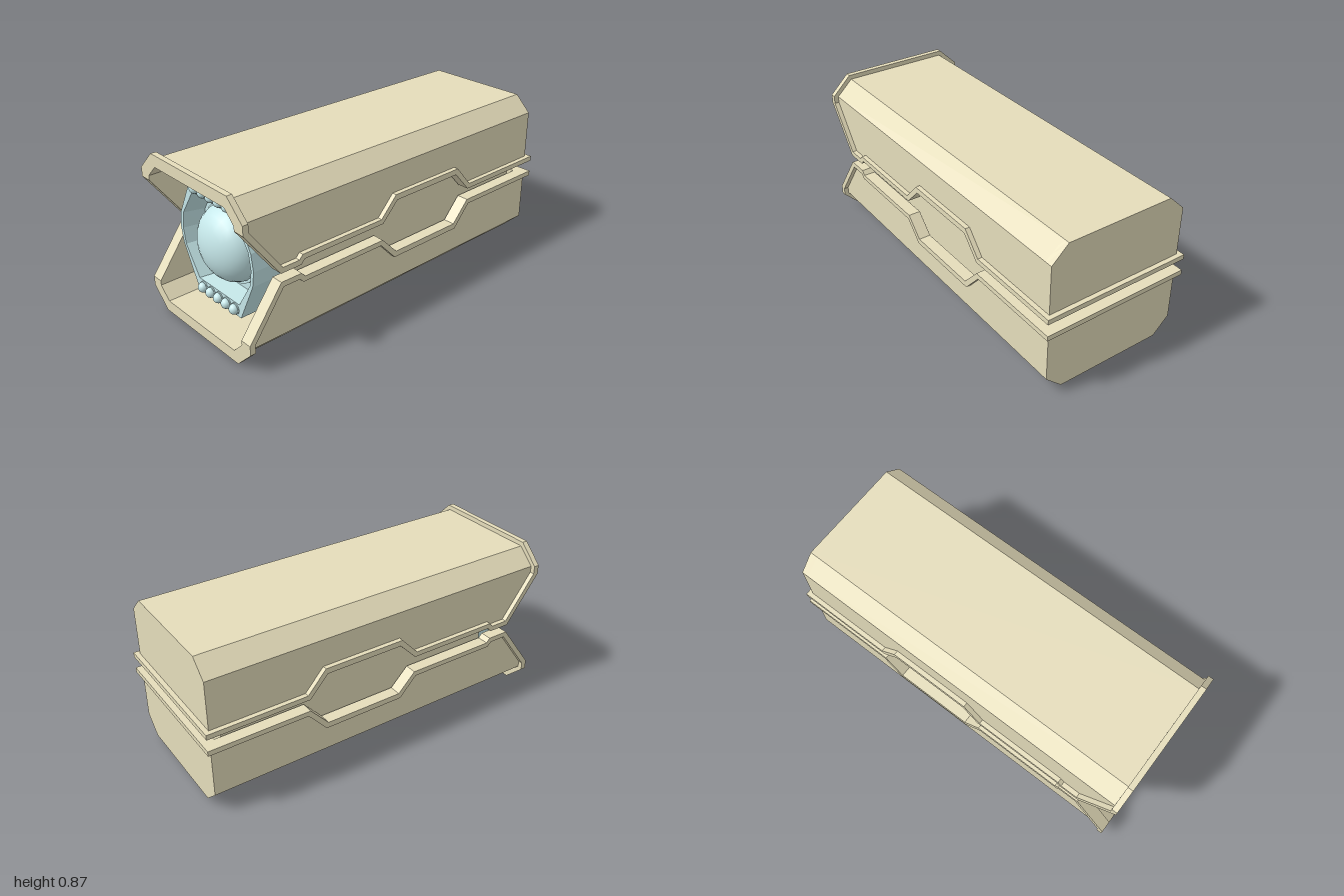
import * as THREE from 'three';

const tan = new THREE.MeshStandardMaterial({ color: 0xe5ddbb });
const blue = new THREE.MeshStandardMaterial({ color: 0xc6e8ea });

function add(parent, name, geometry, material) {
  const mesh = new THREE.Mesh(geometry, material);
  mesh.name = name;
  parent.add(mesh);
}

const toShape = (pts) => new THREE.Shape(pts.map(([x, y]) => new THREE.Vector2(x, y)));
const mirrored = (half) => [...half, ...half.map(([x, y]) => [-x, y]).reverse()];

// Front-facing (x, y) section swept from z0 to z1
function sweepZ(pts, z0, z1) {
  return new THREE.ExtrudeGeometry(toShape(pts), { depth: z1 - z0, bevelEnabled: false }).translate(0, 0, z0);
}

// Side (z, y) profile swept from x0 to x1
function sweepX(pts, x0, x1) {
  return new THREE.ExtrudeGeometry(toShape(pts), { depth: x1 - x0, bevelEnabled: false })
    .rotateY(-Math.PI / 2).translate(x1, 0, 0);
}

function box(x, y0, y1, z0, z1) {
  return new THREE.BoxGeometry(2 * x, y1 - y0, z1 - z0).translate(0, (y0 + y1) / 2, (z0 + z1) / 2);
}

// Skin over matching loops of [x, y, z], flat shaded
function loft(loops) {
  const pos = [];
  for (let k = 0; k < loops.length - 1; k++) {
    const p = loops[k], q = loops[k + 1], n = p.length;
    for (let i = 0; i < n; i++) {
      const j = (i + 1) % n;
      pos.push(...p[i], ...p[j], ...q[j], ...p[i], ...q[j], ...q[i]);
    }
  }
  const g = new THREE.BufferGeometry();
  g.setAttribute('position', new THREE.Float32BufferAttribute(pos, 3));
  g.computeVertexNormals();
  return g;
}

// Half of the casing: an open trough with a stepped raised rim
function makeShell(name) {
  const shell = new THREE.Group();
  shell.name = name;

  const inner = [[0.345, 0.15], [0.345, 0.127], [0.28, 0.063]];
  const bodyOuter = [[0.295, 0.025], [0.385, 0.11], [0.385, 0.15]];
  const rimOuter = [[0.305, 0], [0.41, 0.102], [0.41, 0.15]];
  add(shell, 'floor', sweepZ(mirrored([...bodyOuter, ...inner]), -0.975, 0.97), tan);
  add(shell, 'frontRim', sweepZ(mirrored([...rimOuter, ...inner]), 0.97, 1), tan);

  // Rim profile along the sides: mating edge and its lower border
  const edge = [[1, 0.125], [1, 0.152], [0.81, 0.41], [0.692, 0.41], [0.672, 0.387], [0.176, 0.387],
    [0.08, 0.288], [-0.352, 0.288], [-0.453, 0.4], [-1, 0.4]];
  const border = [[0.97, 0.125], [0.97, 0.145], [0.797, 0.382], [0.703, 0.382], [0.683, 0.36], [0.187, 0.36],
    [0.09, 0.257], [-0.363, 0.257], [-0.465, 0.373], [-1, 0.373]];
  const wall = [...border.slice(0, -1), [-0.975, 0.373], [-0.975, 0.125]];
  const rim = [...edge, ...border.slice().reverse()];
  for (const side of [-1, 1]) {
    const span = (a, b) => (side > 0 ? [a, b] : [-b, -a]);
    add(shell, 'sideWall', sweepX(wall, ...span(0.345, 0.385)), tan);
    add(shell, 'sideRim', sweepX(rim, ...span(0.345, 0.41)), tan);
  }

  // Closed rear end
  add(shell, 'rearWall', sweepZ(mirrored([...bodyOuter.slice(0, 2), [0.385, 0.375]]), -0.975, -0.935), tan);
  add(shell, 'rearRim', box(0.41, 0.373, 0.4, -1, -0.935), tan);
  return shell;
}

function makeEye() {
  const eye = new THREE.Group();
  eye.name = 'eye';
  const cy = 0.44;

  // Faceted housing with a recess whose side walls slope inwards
  const loop = (pts, z) => mirrored(pts).map(([x, y]) => [x, y, z]);
  const outline = [[0.175, 0.132], [0.285, 0.355], [0.299, 0.44], [0.285, 0.53], [0.175, 0.745]];
  const opening = [[0.167, 0.203], [0.265, 0.355], [0.279, 0.44], [0.265, 0.53], [0.167, 0.675]];
  const floor = [[0.148, 0.203], [0.241, 0.36], [0.253, 0.44], [0.241, 0.525], [0.148, 0.675]];
  const centre = outline.map(() => [0, cy]);
  add(eye, 'housing', loft([loop(centre, 0.708), loop(outline, 0.708), loop(outline, 0.88),
    loop(opening, 0.88), loop(floor, 0.77), loop(centre, 0.77)]), blue);

  // Flattened lens on a straight collar
  const collar = new THREE.CylinderGeometry(0.213, 0.213, 0.03, 20).rotateX(Math.PI / 2).translate(0, cy, 0.777);
  add(eye, 'lensCollar', collar, blue);
  const lens = new THREE.SphereGeometry(0.199, 20, 16).rotateX(Math.PI / 2)
    .scale(1, 1, 0.73).translate(0, cy, 0.79);
  add(eye, 'lens', lens, blue);

  // Rows of small lamps above and below
  for (const y of [0.168, 0.712]) {
    for (let i = -2; i <= 2; i++) {
      const x = 0.002 + i * 0.0655;
      add(eye, 'lampRing', new THREE.CylinderGeometry(0.03, 0.03, 0.012, 16)
        .rotateX(Math.PI / 2).translate(x, y, 0.88), blue);
      add(eye, 'lamp', new THREE.SphereGeometry(0.027, 14, 10)
        .rotateX(Math.PI / 2).translate(x, y, 0.888), blue);
    }
  }
  return eye;
}

export function createModel() {
  const model = new THREE.Group();
  model.name = 'casedLens';

  model.add(makeShell('lowerShell'));

  // The upper shell is the lower one turned over
  const upper = makeShell('upperShell');
  upper.rotation.z = Math.PI;
  upper.position.y = 0.865;
  model.add(upper);

  // Core filling the casing, seen through the gap
  add(model, 'core', box(0.33, 0.1, 0.787, -0.895, 0.685), tan);
  model.add(makeEye());
  return model;
}
